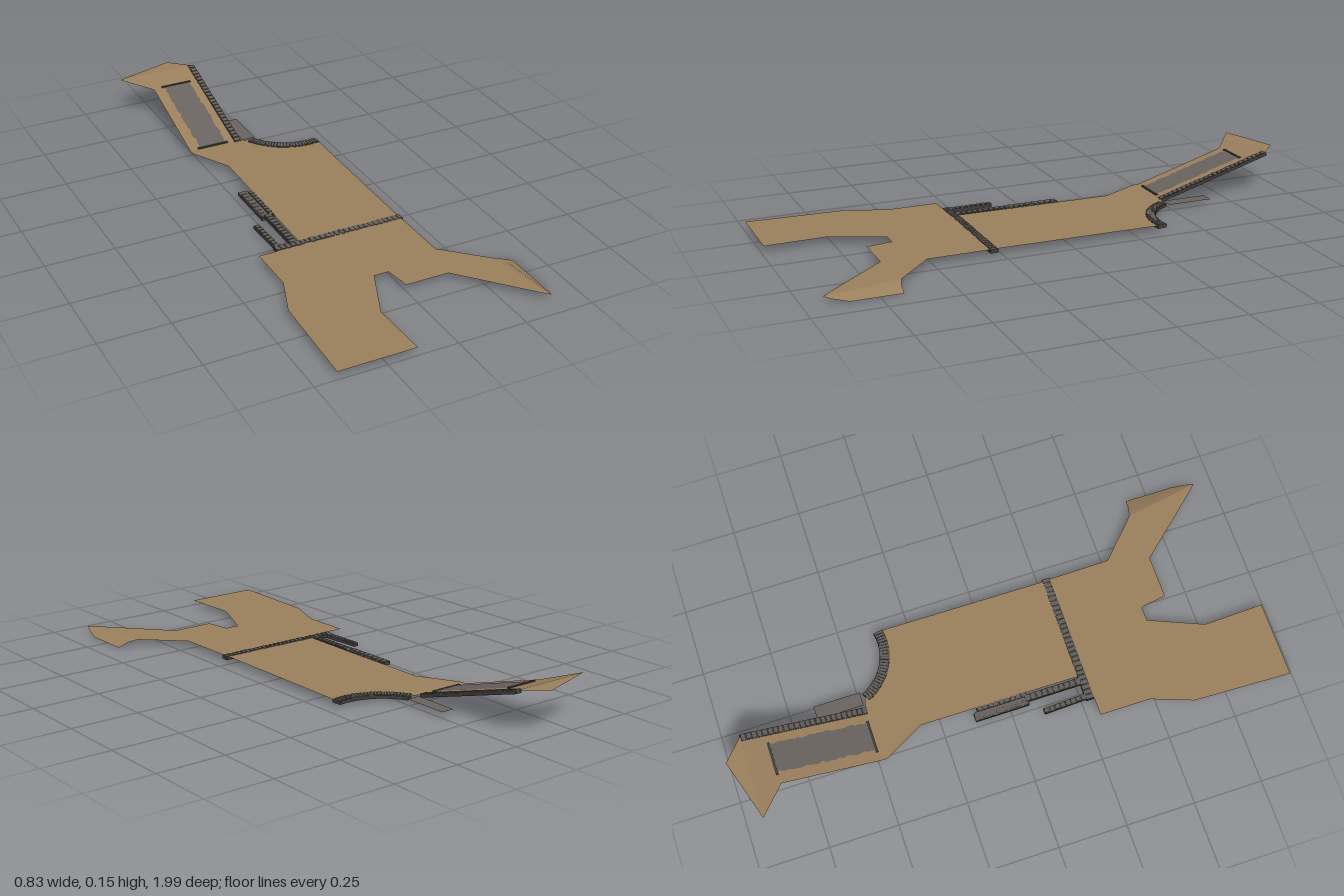
import * as THREE from 'three';
import { mergeGeometries } from 'three/addons/utils/BufferGeometryUtils.js';

const GROUND = 0.022, RAMP_START = -0.49, RAMP_END = -0.93, RAMP_RISE = 0.13;

const mat = (name, color, side = THREE.FrontSide) => {
  const m = new THREE.MeshStandardMaterial({ color, side });
  m.name = name;
  return m;
};

// Height of the walkway: level, then a straight ramp, then a level landing
const rampHeight = (x, z) =>
  GROUND + RAMP_RISE * THREE.MathUtils.clamp((RAMP_START - z) / (RAMP_START - RAMP_END), 0, 1);

// Flat sheet from an [x, z] outline, with its height set by a rule
function sheet(name, outline, material, height = () => GROUND) {
  const shape = new THREE.Shape(outline.map(([x, z]) => new THREE.Vector2(x, -z)));
  const geo = new THREE.ShapeGeometry(shape).rotateX(-Math.PI / 2);
  const p = geo.attributes.position;
  for (let i = 0; i < p.count; i++) p.setY(i, height(p.getX(i), p.getZ(i)));
  geo.computeVertexNormals();
  const mesh = new THREE.Mesh(geo, material);
  mesh.name = name;
  return mesh;
}

export function createModel() {
  const model = new THREE.Group();
  const sand = mat('sand', 0x9a7f5c, THREE.DoubleSide);
  const slab = mat('grey slab', 0x69635f, THREE.DoubleSide);
  const stone = mat('stone', 0x625d59);
  const mortar = mat('dark stone', 0x3f3c3a);

  let seed = 7;
  const rand = () => (seed = (seed * 16807) % 2147483647) / 2147483647;

  // Box lying along the line a-b
  function beam(a, b, width, height) {
    const geo = new THREE.BoxGeometry(width, height, a.distanceTo(b));
    const o = new THREE.Object3D();
    o.position.copy(a).lerp(b, 0.5);
    o.lookAt(b);
    o.updateMatrix();
    return geo.applyMatrix4(o.matrix);
  }

  // Stone edging along a path: a dark bed with uneven paving stones on it
  function curb(name, path, width, stonesPerSegment) {
    const bed = [], stones = [];
    const pts = path.map((q) => new THREE.Vector3(q[0], q[1] ?? 0.016, q[2]));
    for (let i = 0; i < pts.length - 1; i++) {
      const a = pts[i], b = pts[i + 1];
      bed.push(beam(a, b, width, 0.012));
      const lift = new THREE.Vector3(0, 0.003, 0);
      for (let k = 0; k < stonesPerSegment; k++) {
        const s = a.clone().lerp(b, (k + 0.08 + 0.12 * rand()) / stonesPerSegment).add(lift);
        const e = a.clone().lerp(b, (k + 0.8 + 0.12 * rand()) / stonesPerSegment).add(lift);
        stones.push(beam(s, e, width * (0.72 + 0.25 * rand()), 0.011));
      }
    }
    const group = new THREE.Group();
    group.name = name;
    const bedMesh = new THREE.Mesh(mergeGeometries(bed), mortar);
    bedMesh.name = name + 'Bed';
    const stoneMesh = new THREE.Mesh(mergeGeometries(stones), stone);
    stoneMesh.name = name + 'Stones';
    group.add(bedMesh, stoneMesh);
    model.add(group);
  }

  // Points on the round bay cut into the back edge
  const bay = (r, n) => Array.from({ length: n + 1 }, (_, i) => {
    const a = THREE.MathUtils.degToRad(79 + (76 * i) / n);
    return [0.16 + r * Math.cos(a), -0.56 + r * Math.sin(a)];
  });

  // Main walkway
  model.add(sheet('walkway', [
    [-0.265, RAMP_START], [-0.265, -0.47], [-0.185, -0.32], [-0.19, 0.295],
    [0.195, 0.295], [0.2, -0.36], ...bay(0.2, 14), [-0.07, RAMP_START],
  ], sand));

  // Front area with its two branches
  model.add(sheet('forecourt', [
    [-0.35, 0.295], [-0.35, 0.48], [-0.405, 0.63], [-0.418, 0.99], [-0.14, 0.99],
    [-0.147, 0.77], [-0.065, 0.575], [-0.012, 0.575], [0.002, 0.67], [0.16, 0.67],
    [0.37, 0.91], [0.39, 0.93], [0.34, 0.655], [0.2, 0.52], [0.197, 0.295],
  ], sand));

  // Tip of the left branch, sloping down to the side
  const crease = (z) => 0.34 + (0.05 * (z - 0.655)) / 0.275;
  model.add(sheet('branchSlope', [
    [0.34, 0.655], [0.39, 0.93], [0.398, 0.91], [0.412, 0.85], [0.412, 0.67], [0.375, 0.667],
  ], sand, (x, z) => GROUND * (1 - Math.pow(
    THREE.MathUtils.clamp((x - crease(z)) / (0.412 - crease(z)), 0, 1), 1.4))));

  // Ramp and landing
  model.add(sheet('ramp', [
    [-0.265, RAMP_START], [-0.07, RAMP_START], [-0.07, RAMP_END], [-0.37, RAMP_END],
    [-0.265, -0.84],
  ], sand, rampHeight));
  model.add(sheet('landing', [
    [-0.37, RAMP_END], [-0.07, RAMP_END], [-0.145, -1.0],
  ], sand, rampHeight));

  // Worn slab on the ramp with ragged sides, set on both faces
  const left = [], right = [];
  for (let i = 0; i <= 24; i++) {
    const z = -0.845 + (0.35 * i) / 24;
    left.push([-0.218 - 0.01 * rand(), z]);
    right.unshift([-0.122 + 0.01 * rand(), z]);
  }
  for (const [name, offset] of [['rampSlabTop', 0.002], ['rampSlabUnderside', -0.002]]) {
    model.add(sheet(name, [...left, ...right], slab, (x, z) => rampHeight(x, z) + offset));
  }

  // Thin dark strips at both ends of the slab
  for (const z of [-0.845, -0.495]) {
    const strip = new THREE.Mesh(new THREE.BoxGeometry(0.12, 0.006, 0.009), mortar);
    strip.position.set(-0.172, rampHeight(0, z) + 0.001, z);
    strip.name = 'slabEndStrip';
    model.add(strip);
  }

  // Loose slabs beside the walkway
  model.add(sheet('backSlab', [[-0.05, -0.66], [0, -0.66], [0, -0.49], [-0.05, -0.49]], slab,
    () => 0.02));
  model.add(sheet('sideSlab', [[-0.232, -0.13], [-0.2, -0.125], [-0.2, 0.06], [-0.232, 0.06]], slab,
    () => 0.02));

  // Stone edgings
  curb('rampCurb', [[-0.073, 0.017, -0.485], [-0.073, 0.147, -0.93]], 0.025, 24);
  curb('bayCurb', bay(0.204, 12).map(([x, z]) => [x, 0.017, z]), 0.036, 2);
  curb('crossCurb', [[-0.283, 0.016, 0.28], [0.203, 0.016, 0.28]], 0.03, 26);
  curb('innerSideCurb', [[-0.193, 0.016, -0.115], [-0.193, 0.016, 0.07]], 0.018, 9);
  curb('outerSideCurb', [[-0.219, 0.013, -0.13], [-0.219, 0.013, 0.07]], 0.028, 8);
  curb('frontSideCurb', [[-0.208, 0.016, 0.06], [-0.208, 0.016, 0.27]], 0.026, 10);
  curb('cornerCurb', [[-0.274, 0.016, 0.11], [-0.268, 0.016, 0.27]], 0.02, 8);

  return model;
}
